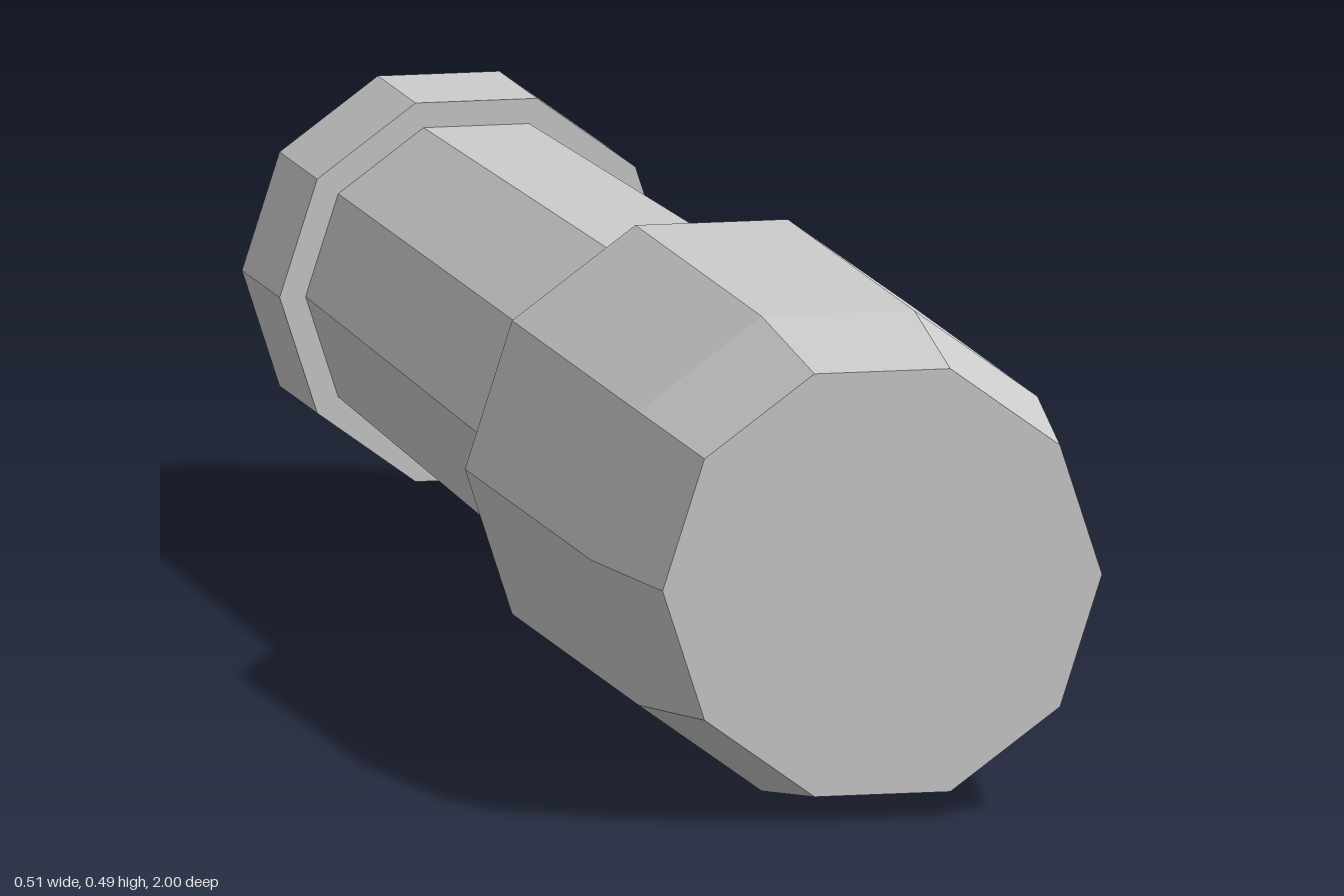
import * as THREE from 'three';

export function createModel() {
  const group = new THREE.Group();
  const grey = new THREE.MeshStandardMaterial({ color: 0xcccccc, flatShading: true });
  grey.name = 'grey';
  const SIDES = 10, AXIS_Y = 0.245;

  // Ten-sided part turned around the z axis; profile is [radius, z] from back to front
  function turned(name, profile) {
    const points = profile.map(([r, z]) => new THREE.Vector2(r, z));
    const geometry = new THREE.LatheGeometry(points, SIDES, Math.PI / 2);
    geometry.rotateX(Math.PI / 2);
    const mesh = new THREE.Mesh(geometry, grey);
    mesh.name = name;
    mesh.position.y = AXIS_Y;
    group.add(mesh);
  }

  // Wide head with a bevelled, flat front end
  turned('head', [[0.257, 0.23], [0.257, 0.8], [0.229, 1], [0, 1]]);
  // Sloping shoulder between handle and head
  turned('shoulder', [[0.196, 0.06], [0.257, 0.23]]);
  // Slightly tapered handle
  turned('handle', [[0.178, -0.83], [0.196, 0.06]]);
  // Closed end cap, with a small step down to the handle
  turned('endCap', [[0, -1], [0.205, -1], [0.205, -0.83], [0.178, -0.83]]);

  return group;
}
